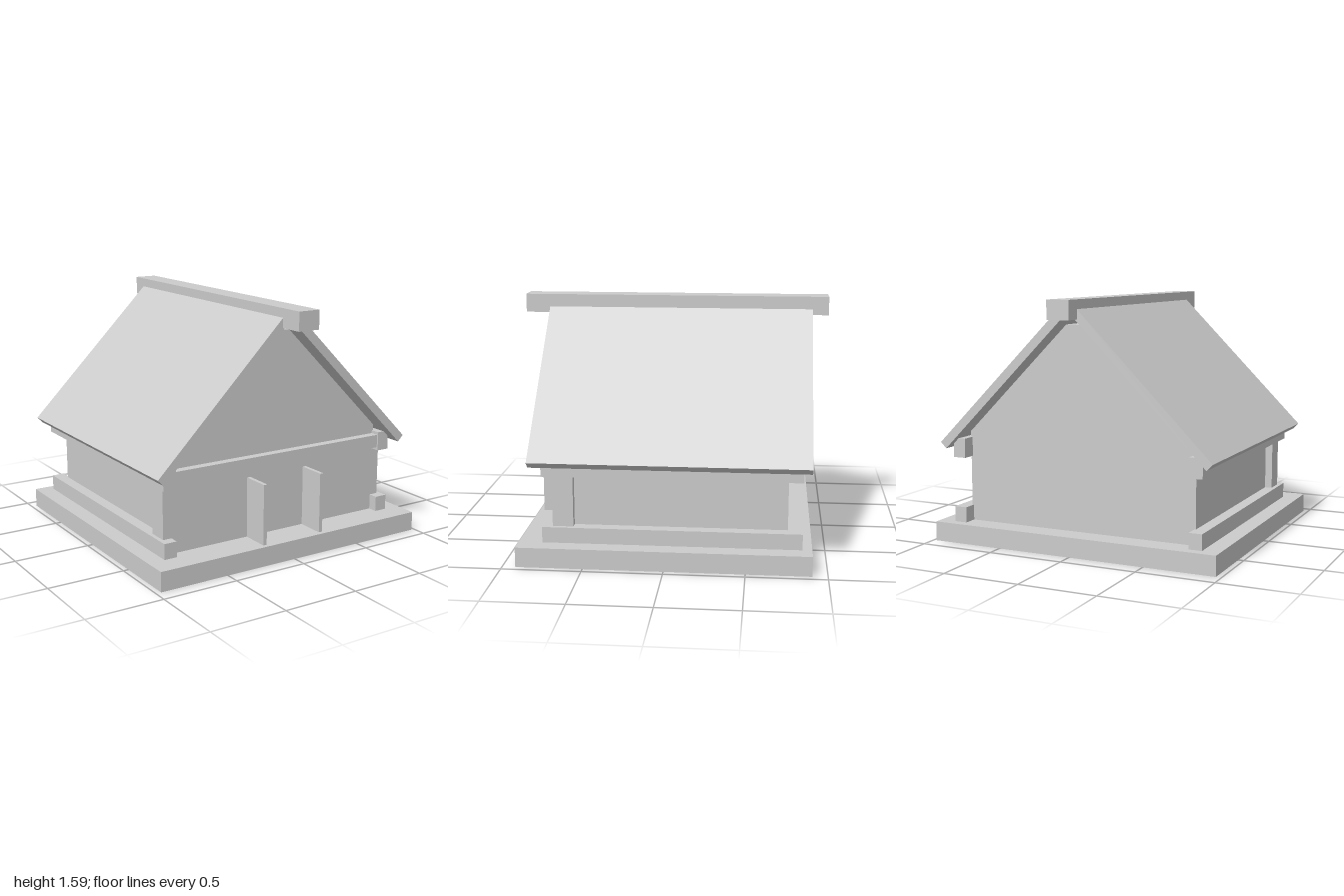
import * as THREE from 'three';

const material = new THREE.MeshStandardMaterial({ color: 0xcccccc, flatShading: true });

// Box given by its lower and upper limits on each axis
function block(name, [x0, x1], [y0, y1], [z0, z1]) {
  const mesh = new THREE.Mesh(new THREE.BoxGeometry(x1 - x0, y1 - y0, z1 - z0), material);
  mesh.position.set((x0 + x1) / 2, (y0 + y1) / 2, (z0 + z1) / 2);
  mesh.name = name;
  return mesh;
}

// Outline in the xy plane extruded from z0 to z1
function prism(name, outline, z0, z1) {
  const shape = new THREE.Shape(outline.map(([x, y]) => new THREE.Vector2(x, y)));
  const geometry = new THREE.ExtrudeGeometry(shape, { depth: z1 - z0, bevelEnabled: false });
  geometry.translate(0, 0, z0);
  const mesh = new THREE.Mesh(geometry, material);
  mesh.name = name;
  return mesh;
}

export function createModel() {
  const house = new THREE.Group();
  house.name = 'house';

  // Plinth and gabled body
  house.add(block('base', [-0.97, 0.97], [0.004, 0.13], [-0.905, 0.915]));
  house.add(prism('body', [
    [-0.785, 0], [0.785, 0], [0.785, 0.72], [0.08, 1.425], [-0.08, 1.425], [-0.785, 0.72],
  ], -0.755, 0.7));

  // Wider front wall, its corners standing proud of the side walls
  house.add(block('frontWall', [-0.833, 0.833], [0.13, 0.62], [0.572, 0.702]));
  house.add(block('frontBeam', [-0.775, 0.775], [0.575, 0.66], [0.68, 0.755]));

  // Sill and eave beams along both sides, and the door jambs
  for (const [side, s] of [['left', 1], ['right', -1]]) {
    const span = (a, b) => (s > 0 ? [a, b] : [-b, -a]);
    house.add(block(side + 'Sill', span(0.775, 0.86), [0.13, 0.23], [-0.845, 0.765]));
    house.add(block(side + 'EaveBeam', span(0.775, 0.86), [0.555, 0.68], [-0.845, 0.765]));
    house.add(block(side + 'DoorJamb', span(0.203, 0.228), [0.13, 0.52], [0.69, 0.885]));
  }

  // Sloping roof slabs
  house.add(prism('leftRoof', [
    [0.885, 0.618], [0.924, 0.657], [0.077, 1.504], [0.038, 1.465],
  ], -0.895, 0.84));
  house.add(prism('rightRoof', [
    [-0.901, 0.618], [-0.024, 1.495], [-0.063, 1.534], [-0.94, 0.657],
  ], -0.895, 0.84));

  // Ridge beam
  house.add(block('ridgeBeam', [-0.07, 0.078], [1.465, 1.585], [-1, 1]));

  return house;
}
